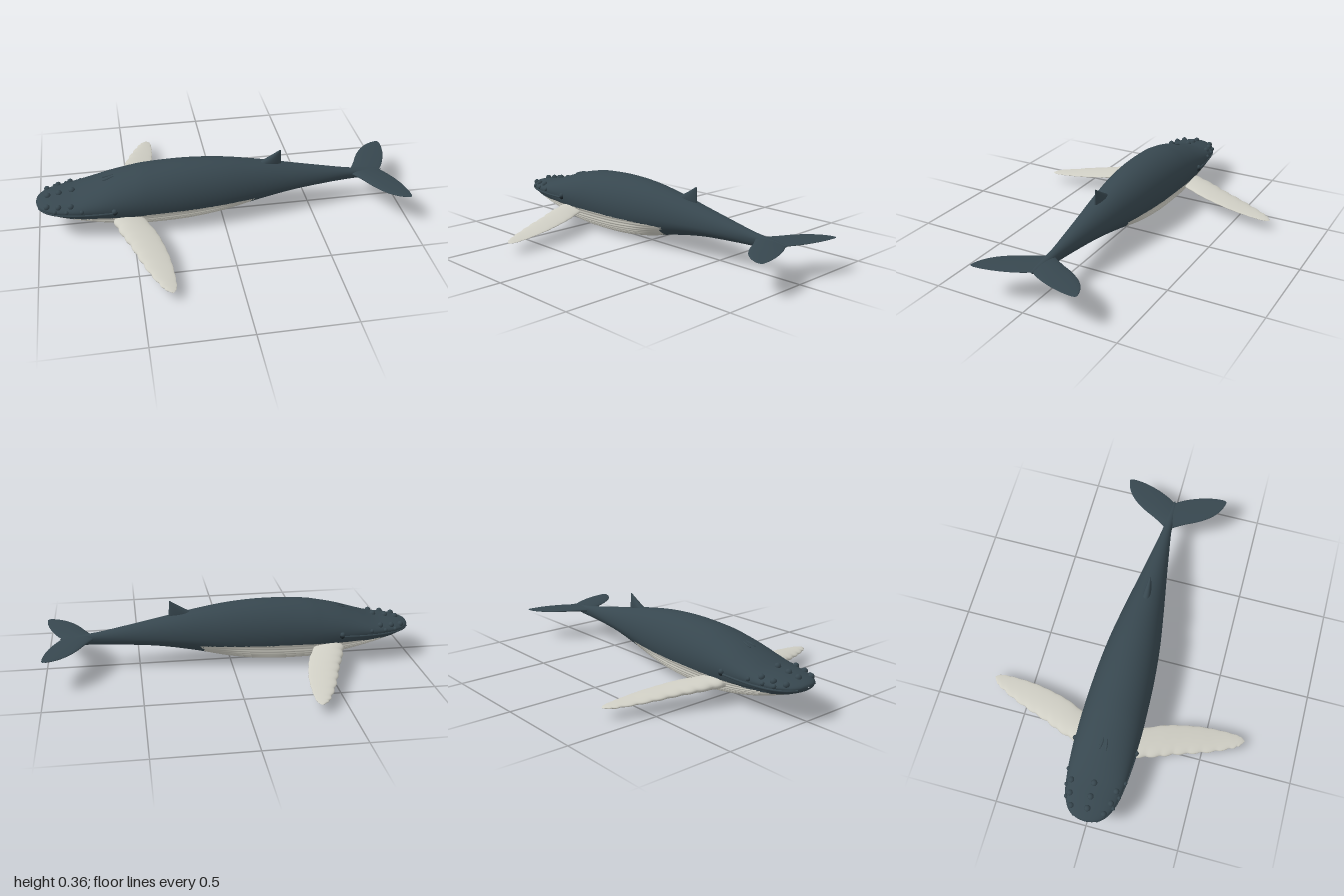
import * as THREE from 'three';

const dark = new THREE.MeshStandardMaterial({ name: 'slateSkin', color: 0x37474f });
const pale = new THREE.MeshStandardMaterial({ name: 'paleBelly', color: 0xcfcec4 });
const black = new THREE.MeshStandardMaterial({ name: 'eyeBlack', color: 0x1c262b });
const MID = 0.175; // height of the widest line of the body

const spline = (pts) => new THREE.CatmullRomCurve3(pts.map((p) => new THREE.Vector3(...p)), false, 'catmullrom', 0.5);

// Closed skin over rings; pointAt(u, angle) gives each vertex, isPale sorts faces into two groups
function loft(rows, cols, pointAt, isPale) {
  const pos = [], groups = [[], []];
  for (let i = 0; i <= rows; i++)
    for (let j = 0; j < cols; j++) pos.push(...pointAt(i / rows, (j / cols) * Math.PI * 2));
  const mid = (t, k) => (pos[t[0] * 3 + k] + pos[t[1] * 3 + k] + pos[t[2] * 3 + k]) / 3;
  for (let i = 0; i < rows; i++)
    for (let j = 0; j < cols; j++) {
      const a = i * cols + j, b = i * cols + ((j + 1) % cols), c = a + cols, d = b + cols;
      for (const t of [[a, b, c], [b, d, c]])
        groups[isPale && isPale(mid(t, 0), mid(t, 1)) ? 1 : 0].push(...t);
    }
  const geo = new THREE.BufferGeometry();
  geo.setAttribute('position', new THREE.Float32BufferAttribute(pos, 3));
  geo.setIndex([...groups[0], ...groups[1]]);
  geo.addGroup(0, groups[0].length, 0);
  geo.addGroup(groups[0].length, groups[1].length, 1);
  geo.computeVertexNormals();
  return geo;
}

// Body stations: x, top, bottom, half width
const stations = [
  [-1, 0.178, 0.172, 0.004], [-0.99, 0.19, 0.158, 0.05], [-0.96, 0.2, 0.142, 0.092], [-0.9, 0.212, 0.118, 0.128],
  [-0.8, 0.228, 0.083, 0.15], [-0.7, 0.26, 0.053, 0.16], [-0.6, 0.293, 0.03, 0.166], [-0.5, 0.317, 0.013, 0.169],
  [-0.4, 0.334, 0.006, 0.168], [-0.2, 0.344, 0.008, 0.16], [0, 0.334, 0.033, 0.142], [0.2, 0.304, 0.08, 0.112],
  [0.4, 0.264, 0.114, 0.078], [0.6, 0.225, 0.128, 0.045], [0.72, 0.203, 0.133, 0.027], [0.82, 0.19, 0.138, 0.022],
  [0.88, 0.183, 0.15, 0.016], [0.92, 0.176, 0.174, 0.002],
];
const topLine = spline(stations.map(([x, t, b, w]) => [x, t, w]));
const lowLine = spline(stations.map(([x, t, b, w]) => [x, b, w]));

function bodyPoint(u, a) {
  const top = topLine.getPoint(u), low = lowLine.getPoint(u), c = Math.cos(a);
  // throat grooves, fading out towards chin, flanks and tail
  const fade = THREE.MathUtils.smoothstep(top.x, -0.95, -0.75) * (1 - THREE.MathUtils.smoothstep(top.x, -0.1, 0.15))
    * THREE.MathUtils.smoothstep(-c, 0.25, 0.45);
  const k = 1 - 0.045 * fade * Math.pow(0.5 + 0.5 * Math.cos(46 * a), 2);
  const h = c > 0 ? top.y - MID : MID - low.y;
  return [top.x, MID + h * c * k, Math.max(top.z, 0.001) * Math.sin(a) * k];
}

// Point on the skin at a given x and angle from the top
function onSkin(x, a) {
  let lo = 0, hi = 1;
  for (let i = 0; i < 24; i++) {
    const m = (lo + hi) / 2;
    if (topLine.getPoint(m).x < x) lo = m; else hi = m;
  }
  return new THREE.Vector3(...bodyPoint(lo, a));
}

// Blade spanning sideways; sections are [span, leading x, trailing x, height, half thickness]
function sideBlade(sections, side, bump) {
  const lead = spline(sections.map((s) => [s[1], s[3], s[0]]));
  const trail = spline(sections.map((s) => [s[2], s[4], s[0]]));
  return loft(72, 28, (u, a) => {
    const l = lead.getPoint(u), t = trail.getPoint(u);
    const wave = bump * Math.abs(Math.sin(u * Math.PI * 11)) * Math.min(1, (1 - u) * 5);
    const x0 = l.x - wave, x1 = t.x + wave * 0.3, c = Math.cos(a);
    const thick = Math.max(t.y, 0.001) * (1 - 0.35 * c); // fuller towards the leading edge
    return [(x0 + x1) / 2 + ((x1 - x0) / 2) * c, l.y + side * thick * Math.sin(a), side * l.z];
  });
}

const flipper = [
  [0.11, -0.6, -0.45, 0.113, 0.026], [0.17, -0.592, -0.432, 0.108, 0.024], [0.27, -0.56, -0.388, 0.1, 0.021],
  [0.36, -0.522, -0.362, 0.091, 0.018], [0.46, -0.486, -0.341, 0.081, 0.015], [0.56, -0.447, -0.331, 0.071, 0.011],
  [0.65, -0.403, -0.329, 0.063, 0.008], [0.69, -0.378, -0.335, 0.06, 0.005], [0.71, -0.353, -0.348, 0.058, 0.001],
];
const fluke = [
  [0, 0.72, 0.905, 0.174, 0.014], [0.03, 0.747, 0.928, 0.174, 0.013], [0.09, 0.784, 0.958, 0.175, 0.011],
  [0.16, 0.82, 0.983, 0.176, 0.008], [0.22, 0.862, 0.996, 0.176, 0.006], [0.26, 0.905, 1, 0.176, 0.004],
  [0.282, 0.945, 0.999, 0.176, 0.003], [0.293, 0.982, 0.992, 0.176, 0.001],
];

export function createModel() {
  const whale = new THREE.Group();
  whale.name = 'whale';
  const add = (name, geo, mat) => {
    const mesh = new THREE.Mesh(geo, mat);
    mesh.name = name;
    whale.add(mesh);
    return mesh;
  };

  // Body, with the pale belly as a second face group
  const belly = (x, y) => y < 0.132 && x > -0.93 && x < 0.17 - (0.132 - y) * 0.5;
  add('body', loft(150, 276, bodyPoint, belly), [dark, pale]);

  // Dorsal fin: sections rise from the back to a swept tip
  const fin = spline([[0.13, 0.335, 0.022], [0.2, 0.335, 0.02], [0.268, 0.333, 0.012], [0.328, 0.331, 0.002]]);
  add('dorsalFin', loft(16, 20, (u, a) => {
    const s = fin.getPoint(u), c = Math.cos(a);
    return [(s.x + s.y) / 2 + ((s.y - s.x) / 2) * c, 0.25 + u * 0.113, -Math.max(s.z, 0.001) * Math.sin(a) * (1 - 0.3 * c)];
  }), dark);

  const knob = new THREE.SphereGeometry(1, 14, 10);
  const addKnob = (name, x, a, r, mat) => {
    const m = add(name, knob, mat);
    m.position.copy(onSkin(x, a));
    m.scale.setScalar(r);
  };

  // Knobs along the middle of the snout
  for (const x of [-0.935, -0.875, -0.805]) addKnob('snoutKnob', x, 0, 0.017, dark);

  for (const side of [1, -1]) {
    const word = side > 0 ? 'left' : 'right';
    add(word + 'Flipper', sideBlade(flipper, side, 0.009), pale);
    add(word + 'Fluke', sideBlade(fluke, side, 0), dark);

    // Knobs along the upper jaw
    for (const x of [-0.94, -0.88, -0.815]) addKnob(word + 'JawKnob', x, side * 0.95, 0.016, dark);
    for (const x of [-0.9, -0.84, -0.76]) addKnob(word + 'LipKnob', x, side * 1.4, 0.011, dark);

    // Lip ridge from snout to eye
    const lip = [-0.985, -0.95, -0.88, -0.8, -0.7, -0.59].map((x, i) => onSkin(x, side * (1.85 - i * 0.045)));
    add(word + 'Lip', new THREE.TubeGeometry(new THREE.CatmullRomCurve3(lip), 40, 0.006, 8), dark);

    // Eye with a brow
    addKnob(word + 'Brow', -0.592, side * 1.53, 0.014, dark);
    addKnob(word + 'Eye', -0.59, side * 1.6, 0.013, black);

    // Blowhole ridge
    const hole = add(word + 'Blowhole', knob, dark);
    hole.position.copy(onSkin(-0.61, side * 0.08));
    hole.scale.set(0.032, 0.006, 0.007);
    hole.rotation.set(0, side * 0.12, 0.25);
  }
  return whale;
}
